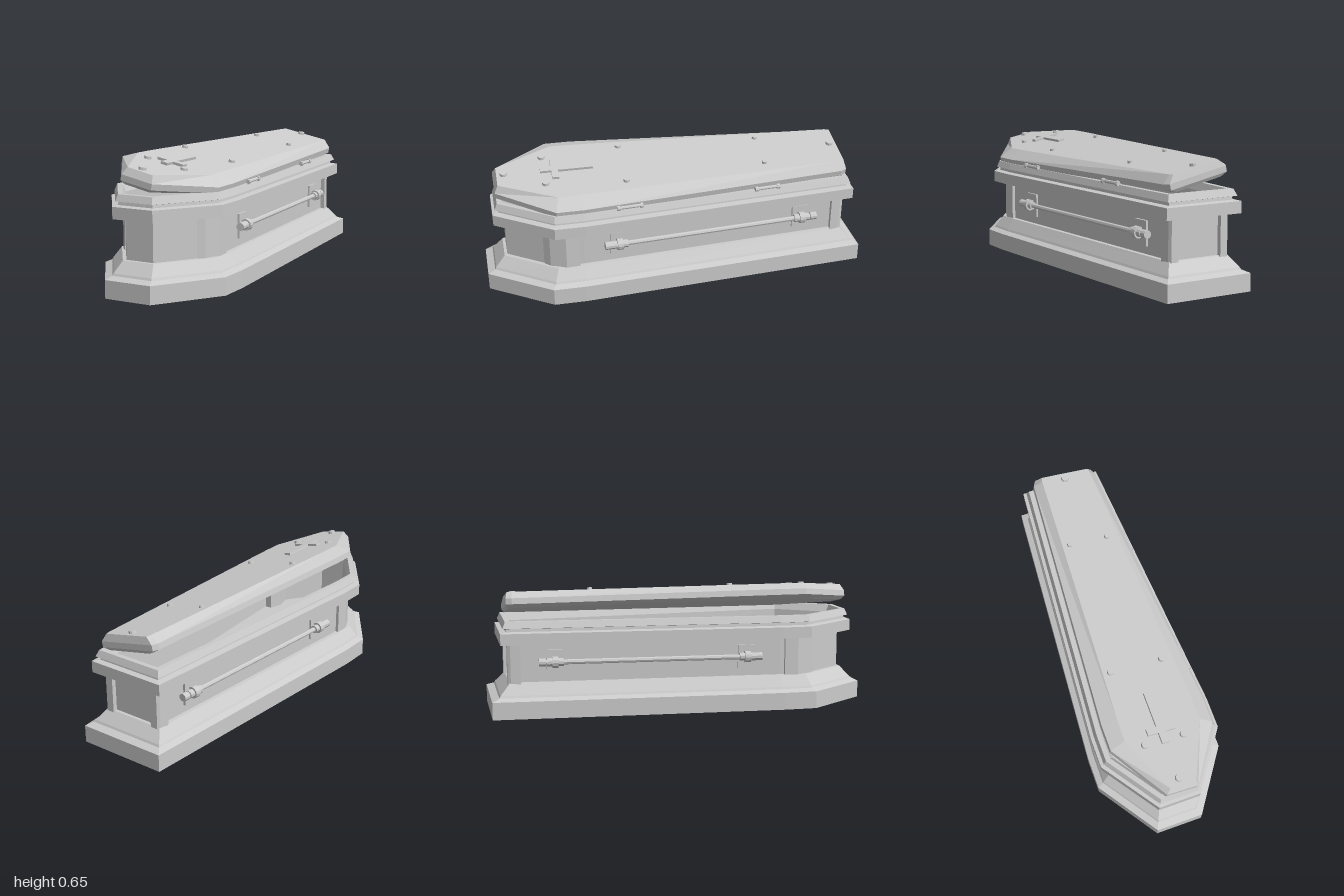
import * as THREE from 'three';

const material = new THREE.MeshStandardMaterial({ color: 0xcccccc, flatShading: true, side: THREE.DoubleSide });

// Half outline [x, z] from front to back, mirrored into a closed loop
const mirror = half => [...half, ...half.map(([x, z]) => [-x, z]).reverse()];
const OUTLINE = mirror([[0.125, 1], [0.345, 0.68], [0.345, 0.51], [0.238, -1]]);

// Coffin outline moved inwards by d, then scaled along z
function inset(d, zScale = 1) {
  const n = OUTLINE.length;
  const normal = i => {
    const a = OUTLINE[(i + n) % n], b = OUTLINE[(i + 1) % n];
    const dx = b[0] - a[0], dz = b[1] - a[1], l = Math.hypot(dx, dz);
    return [-dz / l, dx / l];
  };
  return OUTLINE.map(([x, z], i) => {
    const p = normal(i - 1), q = normal(i);
    const k = d / (1 + p[0] * q[0] + p[1] * q[1]);
    return [x - (p[0] + q[0]) * k, (z - (p[1] + q[1]) * k) * zScale];
  });
}

// Faceted skin through a stack of { y, loop } sections
function loft(sections, capStart, capEnd) {
  const pos = [];
  const tri = (...pts) => pts.forEach(p => pos.push(...p));
  const rings = sections.map(([y, loop]) => loop.map(([x, z]) => [x, y, z]));
  const n = rings[0].length;
  for (let s = 0; s < rings.length - 1; s++) {
    for (let i = 0; i < n; i++) {
      const j = (i + 1) % n, a = rings[s], b = rings[s + 1];
      tri(a[i], a[j], b[j]);
      tri(a[i], b[j], b[i]);
    }
  }
  const first = rings[0], last = rings[rings.length - 1];
  for (let i = 1; i < n - 1; i++) {
    if (capStart) tri(first[0], first[i + 1], first[i]);
    if (capEnd) tri(last[0], last[i], last[i + 1]);
  }
  const g = new THREE.BufferGeometry();
  g.setAttribute('position', new THREE.Float32BufferAttribute(pos, 3));
  g.computeVertexNormals();
  return g;
}

function add(parent, name, geometry, x = 0, y = 0, z = 0) {
  const mesh = new THREE.Mesh(geometry, material);
  mesh.name = name;
  mesh.position.set(x, y, z);
  parent.add(mesh);
  return mesh;
}

const rod = (r, length, sides = 10) => new THREE.CylinderGeometry(r, r, length, sides).rotateX(Math.PI / 2);

function makeHandle(side) {
  const g = new THREE.Group();
  g.name = side > 0 ? 'leftHandle' : 'rightHandle';
  const x = side * 0.028;
  add(g, 'handleBar', rod(0.013, 1.14, 8), x, 0, 0);
  for (const z of [0.505, -0.495]) {
    add(g, 'handlePlate', new THREE.BoxGeometry(0.012, 0.125, 0.09), side * 0.003, -0.003, z);
    add(g, 'handleBracket', rod(0.03, 0.03, 12), x, 0, z);
    add(g, 'handleCollar', rod(0.021, 0.085), x, 0, z);
  }
  for (const z of [0.565, -0.56]) add(g, 'handleEnd', rod(0.021, 0.035), x, 0, z);
  g.position.set(side * 0.203, 0.277, -0.18);
  g.rotation.y = side * 0.0706;
  return g;
}

function makeLid() {
  const lid = new THREE.Group();
  lid.name = 'lid';
  const edge = mirror([[0.085, 0.93], [0.279, 0.64], [0.279, 0.5], [0.178, -0.885], [0.162, -0.915]]);
  const top = mirror([[0.07, 0.912], [0.206, 0.62], [0.204, 0.5], [0.137, -0.88], [0.13, -0.905]]);
  add(lid, 'lidShell', loft([[-0.017, top], [0, edge], [0.03, edge], [0.067, top]], true, true));

  // Screws along the lid
  const screws = [[0, -0.87, 0.02], [0, 0.875, 0.02]];
  for (const s of [-1, 1]) screws.push([s * 0.105, -0.48, 0.014], [s * 0.141, 0.26, 0.017], [s * 0.105, 0.67, 0.019]);
  for (const [x, z, r] of screws) {
    add(lid, 'lidScrew', new THREE.CylinderGeometry(r * 0.9, r, 0.014, 10), x - 0.012, 0.073, z);
  }

  // Raised cross, its head towards the front
  const cross = new THREE.Shape([
    [-0.018, 0.415], [0.018, 0.415], [0.018, 0.597], [0.074, 0.597], [0.074, 0.632], [0.018, 0.632],
    [0.018, 0.688], [-0.018, 0.688], [-0.018, 0.632], [-0.074, 0.632], [-0.074, 0.597], [-0.018, 0.597],
  ].map(([x, z]) => new THREE.Vector2(x, z)));
  const crossGeometry = new THREE.ExtrudeGeometry(cross, { depth: 0.016, bevelEnabled: false }).rotateX(Math.PI / 2);
  add(lid, 'lidCross', crossGeometry, -0.012, 0.08, 0);

  lid.position.set(0.008, 0.539, 0);
  lid.rotation.z = -0.209;
  return lid;
}

export function createModel() {
  const model = new THREE.Group();
  model.name = 'coffin';

  // Stepped plinth
  add(model, 'plinth', loft([
    [0, inset(0)], [0.09, inset(0)], [0.104, inset(0.03, 0.992)],
    [0.115, inset(0.036, 0.992)], [0.17, inset(0.075, 0.98)], [0.172, inset(0.1, 0.98)],
  ], true, true));

  // Recessed body panels
  const panel = inset(0.095, 0.985);
  add(model, 'bodyPanels', loft([[0.16, panel], [0.38, panel]], false, false));

  // Posts at the shoulders and the back corners
  const shoulder = [[0.18, 0.6], [0.205, 0.71], [0.235, 0.68], [0.27, 0.6], [0.266, 0.53], [0.2, 0.53]];
  const back = [[0.12, -0.85], [0.176, -0.85], [0.169, -0.9], [0.16, -0.915], [0.12, -0.915]];
  for (const s of [-1, 1]) {
    for (const [name, pts] of [['shoulderPost', shoulder], ['backPost', back]]) {
      const shape = new THREE.Shape(pts.map(([x, z]) => new THREE.Vector2(s * x, z)));
      const g = new THREE.ExtrudeGeometry(shape, { depth: 0.215, bevelEnabled: false }).rotateX(Math.PI / 2);
      add(model, name, g, 0, 0.38, 0);
    }
    model.add(makeHandle(s));
  }

  // Moulded rim, continuing over the lip into the hollow inside
  add(model, 'rimAndInterior', loft([
    [0.365, inset(0.1, 0.98)], [0.373, inset(0.03, 0.978)], [0.373, inset(0.027, 0.977)], [0.432, inset(0.027, 0.977)],
    [0.437, inset(0.06, 0.98)], [0.452, inset(0.062, 0.98)], [0.456, inset(0.043, 0.98)],
    [0.489, inset(0.057, 0.98)], [0.489, inset(0.082, 0.98)], [0.45, inset(0.1, 0.98)], [0.2, inset(0.11, 0.98)],
  ], false, true));

  // Hinges on the low side of the lid
  for (const [x, z] of [[0.272, 0.265], [0.22, -0.47]]) {
    const hinge = new THREE.Group();
    hinge.name = 'hinge';
    add(hinge, 'hingePin', rod(0.009, 0.13, 8));
    for (const e of [-0.06, 0.06]) add(hinge, 'hingeKnuckle', rod(0.014, 0.016, 8), 0, 0, e);
    hinge.position.set(x, 0.495, z);
    hinge.rotation.y = 0.0706;
    model.add(hinge);
  }

  model.add(makeLid());
  return model;
}
